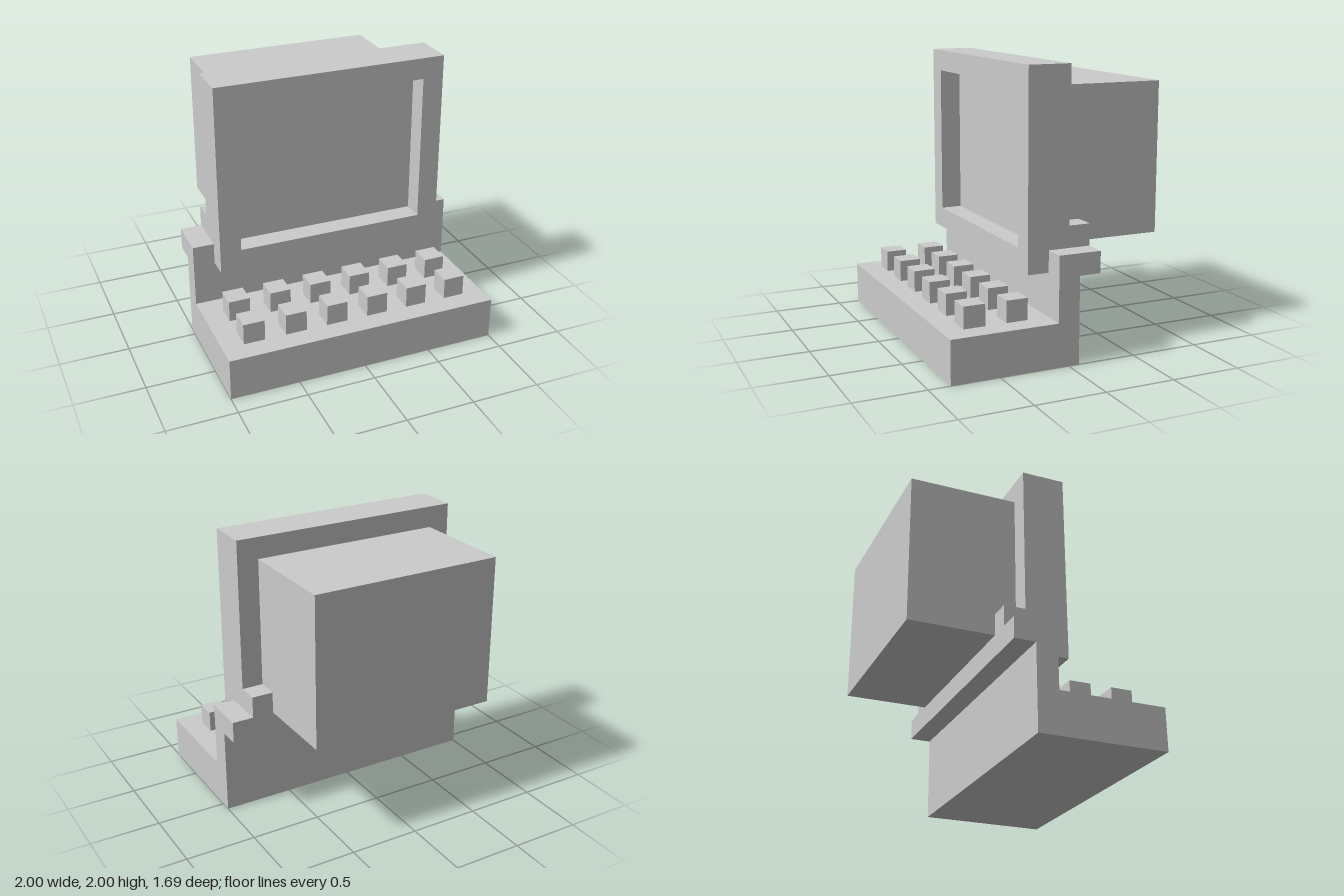
import * as THREE from 'three';

const U = 1 / 13; // modelling grid step
const material = new THREE.MeshStandardMaterial({ color: 0xcccccc, flatShading: true });

function add(parent, name, geometry) {
  const mesh = new THREE.Mesh(geometry, material);
  mesh.name = name;
  parent.add(mesh);
  return mesh;
}

// Box given by its extents in grid steps
function block(parent, name, [x0, x1], [y0, y1], [z0, z1]) {
  const mesh = add(parent, name, new THREE.BoxGeometry((x1 - x0) * U, (y1 - y0) * U, (z1 - z0) * U));
  mesh.position.set((x0 + x1) / 2 * U, (y0 + y1) / 2 * U, (z0 + z1) / 2 * U);
  return mesh;
}

const points = (list) => list.map(([a, b]) => new THREE.Vector2(a * U, b * U));
const rect = (x, y0, y1) => points([[-x, y0], [x, y0], [x, y1], [-x, y1]]);

export function createModel() {
  const model = new THREE.Group();
  model.name = 'computerTerminal';

  // Keyboard base, upright wall and rear ledge: one side profile (z, y) extruded across x
  const profile = new THREE.Shape(points([
    [11, 0], [11, 4], [1, 4], [1, 10], [-3, 10], [-3, 8], [-1, 8], [-1, 0],
  ]));
  const base = new THREE.ExtrudeGeometry(profile, { depth: 26 * U, bevelEnabled: false });
  base.translate(0, 0, -13 * U).rotateY(-Math.PI / 2);
  add(model, 'keyboardBase', base);

  // Screen bezel with a recessed opening
  const bezelShape = new THREE.Shape(rect(11, 8, 26));
  bezelShape.holes.push(new THREE.Path(rect(9, 10, 24)));
  const bezel = new THREE.ExtrudeGeometry(bezelShape, { depth: 2 * U, bevelEnabled: false });
  add(model, 'screenBezel', bezel).position.z = U;

  // Screen panel behind the bezel, and the deep rear housing
  block(model, 'screenPanel', [-11, 11], [8, 26], [-1, 1]);
  block(model, 'rearHousing', [-9, 9], [10, 24], [-11, -1]);

  // Small steps on the ledge beside the housing
  block(model, 'leftStep', [9, 11], [10, 12], [-3, -1]);
  block(model, 'rightStep', [-11, -9], [10, 12], [-3, -1]);

  // Two rows of six keys
  const keys = new THREE.Group();
  keys.name = 'keys';
  for (const z of [3, 7]) {
    for (let i = 0; i < 6; i++) {
      const x = -11 + i * 4;
      block(keys, 'key', [x, x + 2], [4, 6], [z, z + 2]);
    }
  }
  model.add(keys);

  return model;
}
